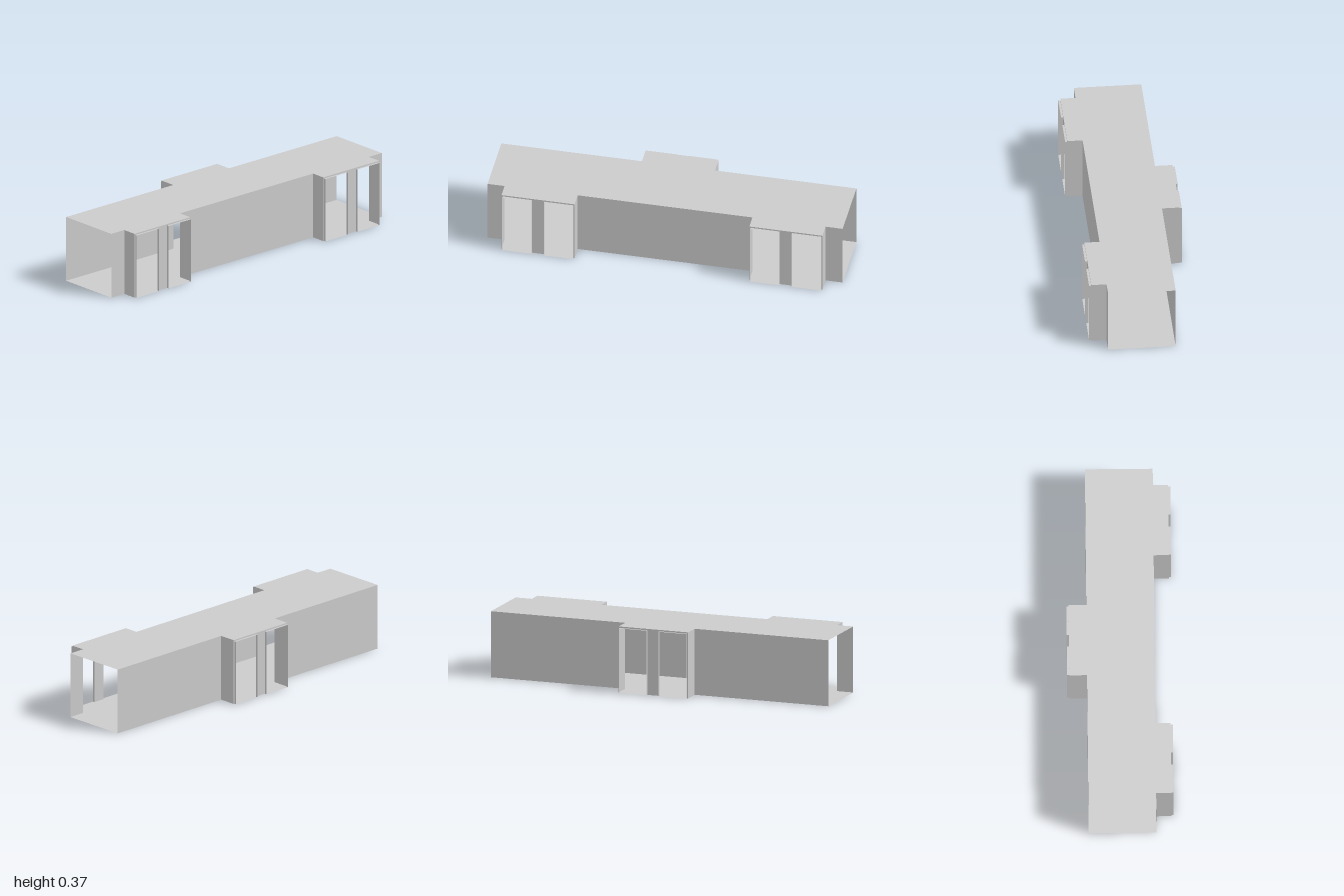
import * as THREE from 'three';

const material = new THREE.MeshStandardMaterial({ color: 0xcccccc, side: THREE.DoubleSide, flatShading: true });

const H = 0.373;        // roof height
const DOOR_H = 0.365;   // doorway height
const BAY_Z = 0.278;    // face of the door bays
const LIP_Z = 0.29;     // outer edge of the doorway lips
const BAY = 0.206;      // half width of a bay
const OUT = 0.2;        // outer edge of a doorway, from the bay centre
const IN = 0.035;       // inner edge of a doorway, beside the pillar
const sides = [
  { name: 'front', s: 1, wall: 0.194, bays: [-0.698, 0.698] },
  { name: 'back', s: -1, wall: 0.18, bays: [-0.002] },
];

function add(group, name, geometry) {
  const mesh = new THREE.Mesh(geometry, material);
  mesh.name = name;
  group.add(mesh);
  return mesh;
}

// Upright sheet along the line from (x0, z0) to (x1, z1)
function sheet(group, name, [x0, z0], [x1, z1], y0, y1) {
  const mesh = add(group, name, new THREE.PlaneGeometry(Math.hypot(x1 - x0, z1 - z0), y1 - y0));
  mesh.position.set((x0 + x1) / 2, (y0 + y1) / 2, (z0 + z1) / 2);
  mesh.rotation.y = -Math.atan2(z1 - z0, x1 - x0);
}

// Flat sheet from a plan outline of [x, z] points
function deck(group, name, points, y) {
  const shape = new THREE.Shape(points.map(([x, z]) => new THREE.Vector2(x, z)));
  add(group, name, new THREE.ShapeGeometry(shape).rotateX(Math.PI / 2)).position.y = y;
}

// Plan line of one long side, from x = -1 to x = 1, stepping out at the bays
function sideLine({ s, wall, bays }) {
  const line = [[-1, s * wall]];
  for (const c of bays) {
    line.push([c - BAY, s * wall], [c - BAY, s * BAY_Z], [c + BAY, s * BAY_Z], [c + BAY, s * wall]);
  }
  line.push([1, s * wall]);
  return line;
}

// Bay front: frame edges, pillar, lintel and two lipped doorways
function doorBay(c, s) {
  const bay = new THREE.Group();
  const zb = s * BAY_Z, zl = s * LIP_Z;
  sheet(bay, 'lintel', [c - BAY, zb], [c + BAY, zb], DOOR_H, H);
  sheet(bay, 'pillar', [c - IN, zb], [c + IN, zb], 0, DOOR_H);
  for (const m of [-1, 1]) {
    sheet(bay, 'frameEdge', [c + m * OUT, zb], [c + m * BAY, zb], 0, DOOR_H);
    const a = c + m * IN, b = c + m * OUT;
    for (const x of [a, b]) sheet(bay, 'doorJamb', [x, zb], [x, zl], 0, DOOR_H);
    const plan = [[a, zb], [b, zb], [b, zl], [a, zl]];
    deck(bay, 'doorSill', plan, 0);
    deck(bay, 'doorHead', plan, DOOR_H);
  }
  return bay;
}

export function createModel() {
  const model = new THREE.Group();
  model.name = 'corridor';

  // Roof and floor; both ends of the corridor stay open
  const plan = [...sideLine(sides[0]), ...sideLine(sides[1]).reverse()];
  deck(model, 'roof', plan, H);
  deck(model, 'floor', plan, 0);

  for (const side of sides) {
    const line = sideLine(side);
    // Long walls and bay cheeks; the bay fronts are built separately
    for (let i = 0; i < line.length - 1; i++) {
      const bayFront = i % 4 === 2;
      if (!bayFront) sheet(model, i % 4 === 0 ? side.name + 'Wall' : 'bayCheek', line[i], line[i + 1], 0, H);
    }
    side.bays.forEach((c) => {
      const bay = doorBay(c, side.s);
      bay.name = side.name + 'DoorBay';
      model.add(bay);
    });
  }
  return model;
}
